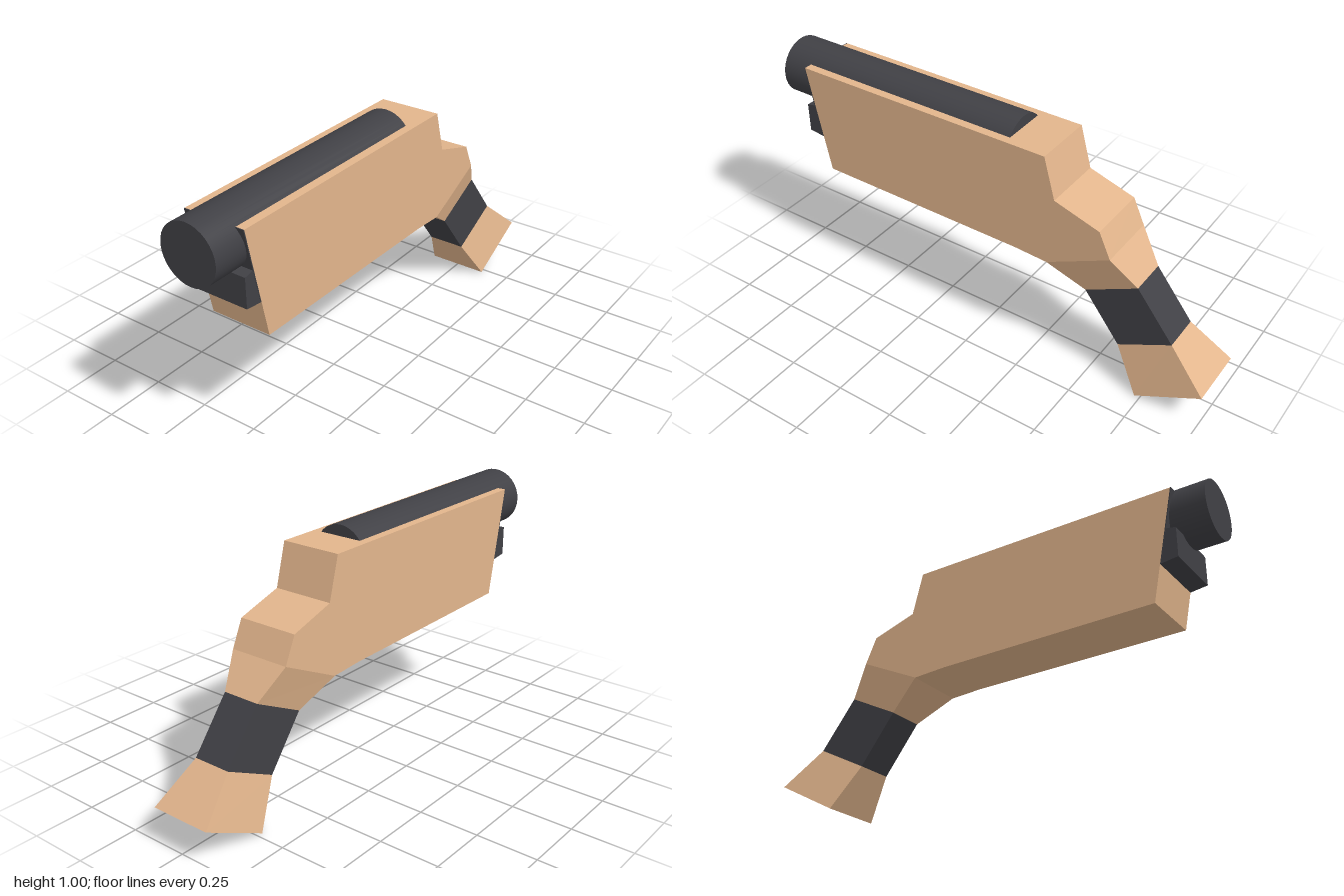
import * as THREE from 'three';

const wood = new THREE.MeshStandardMaterial({ color: 0xe2b58c });
const dark = new THREE.MeshStandardMaterial({ color: 0x404045 });
const HALF = 0.13;

// Side profile given as [z, y] points, extruded across x
function slab(name, points, halfWidth, material) {
  const shape = new THREE.Shape(points.map(([z, y]) => new THREE.Vector2(z, y)));
  const geo = new THREE.ExtrudeGeometry(shape, { depth: halfWidth * 2, bevelEnabled: false });
  geo.translate(0, 0, -halfWidth).rotateY(-Math.PI / 2);
  const mesh = new THREE.Mesh(geo, material);
  mesh.name = name;
  return mesh;
}

// Four-sided segment between two sections, each { top: [z, y], bottom: [z, y], w }
function segment(name, a, b, material) {
  const ring = ({ top, bottom, w }) => [
    [w, top[1], top[0]], [w, bottom[1], bottom[0]],
    [-w, bottom[1], bottom[0]], [-w, top[1], top[0]],
  ];
  const A = ring(a), B = ring(b), pos = [];
  const quad = (p, q, r, s) => pos.push(...p, ...q, ...r, ...p, ...r, ...s);
  for (let i = 0; i < 4; i++) {
    const j = (i + 1) % 4;
    quad(A[i], A[j], B[j], B[i]);
  }
  quad(A[3], A[2], A[1], A[0]);
  quad(B[0], B[1], B[2], B[3]);
  const geo = new THREE.BufferGeometry();
  geo.setAttribute('position', new THREE.Float32BufferAttribute(pos, 3));
  geo.computeVertexNormals();
  const mesh = new THREE.Mesh(geo, material);
  mesh.name = name;
  return mesh;
}

export function createModel() {
  const group = new THREE.Group();
  group.name = 'shortGun';

  // Wooden stock body
  group.add(slab('stockBody', [
    [0.87, 0.955], [0.777, 0.497], [-0.16, 0.488], [-0.305, 0.48],
    [-0.575, 0.612], [-0.525, 0.72], [-0.33, 0.78], [-0.282, 0.955],
  ], HALF, wood));

  // Dark facing on the upper front and the block under the barrel
  group.add(slab('frontPlate', [
    [0.87, 0.955], [0.874, 0.955], [0.812, 0.65], [0.808, 0.65],
  ], HALF, dark));
  group.add(slab('underBarrelBlock', [
    [0.88, 0.78], [0.83, 0.79], [0.805, 0.648], [0.88, 0.657],
  ], HALF - 0.001, dark));

  // Barrel sunk into the top of the body
  const barrelGeo = new THREE.CylinderGeometry(0.121, 0.121, 1.11, 32);
  const barrel = new THREE.Mesh(barrelGeo.rotateX(Math.PI / 2), dark);
  barrel.position.set(0, 0.88, 0.445);
  barrel.name = 'barrel';
  group.add(barrel);

  // Grip: tapering neck, dark wrap and flared butt
  const sections = [
    { top: [-0.575, 0.612], bottom: [-0.305, 0.48], w: HALF },
    { top: [-0.675, 0.49], bottom: [-0.455, 0.378], w: 0.08 },
    { top: [-0.835, 0.288], bottom: [-0.612, 0.174], w: 0.08 },
    { top: [-1, 0.142], bottom: [-0.727, 0], w: HALF },
  ];
  ['gripNeck', 'gripWrap', 'gripButt'].forEach((name, i) =>
    group.add(segment(name, sections[i], sections[i + 1], i === 1 ? dark : wood)));

  return group;
}
